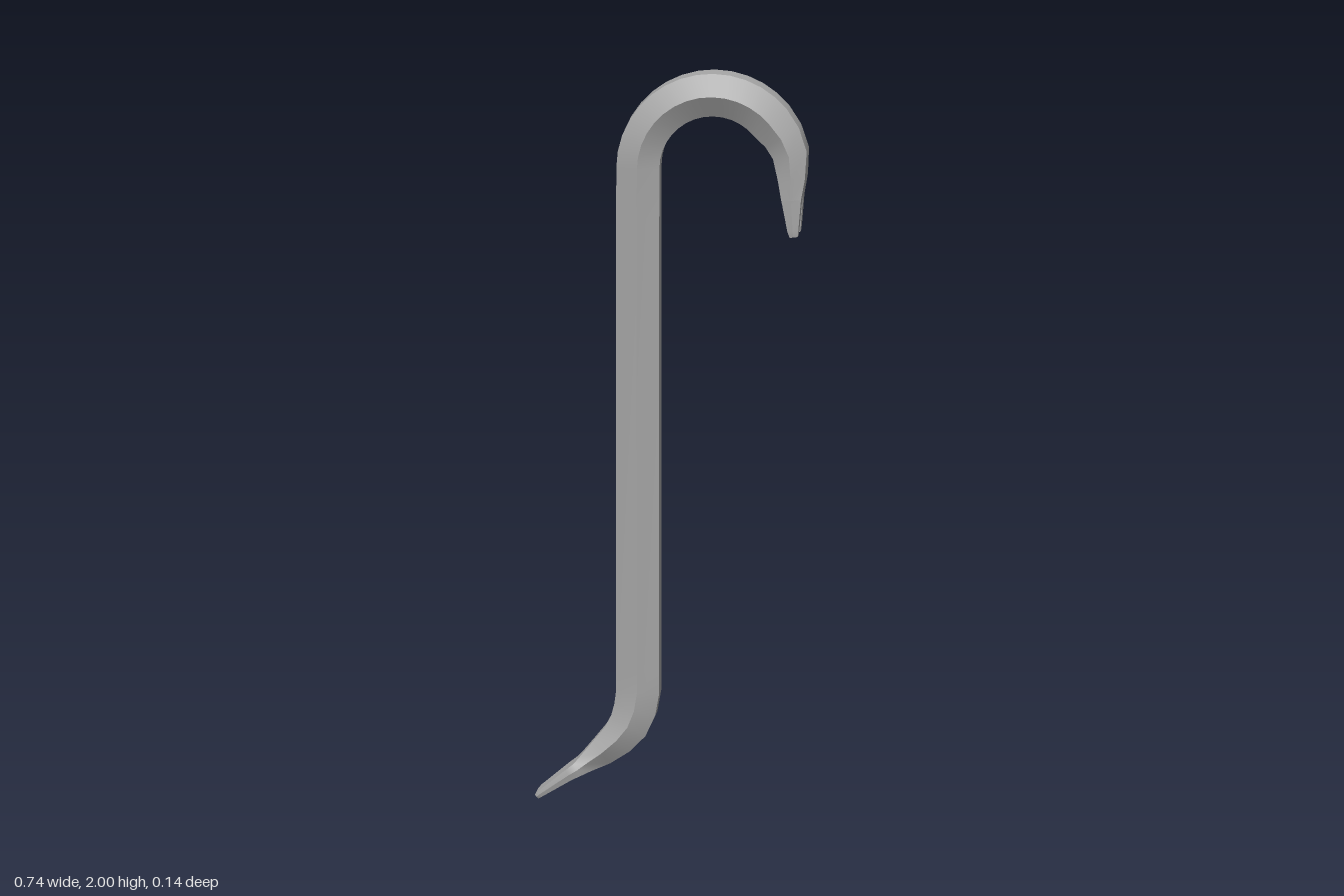
import * as THREE from 'three';

// Stations along the bar: x, y, half thickness, half width, half width of the flat face
const bladeAndBend = [
  [-0.365, 0.01, 0.007, 0.051, 0.048], [-0.356, 0.018, 0.009, 0.055, 0.053],
  [-0.277, 0.073, 0.016, 0.066, 0.062], [-0.254, 0.087, 0.019, 0.068, 0.06],
  [-0.233, 0.101, 0.025, 0.052, 0.04], [-0.19, 0.132, 0.038, 0.059, 0.034],
  [-0.148, 0.168, 0.047, 0.059, 0.034], [-0.118, 0.205, 0.054, 0.06, 0.034],
  [-0.1, 0.25, 0.0575, 0.06, 0.034], [-0.092, 0.3, 0.0585, 0.06, 0.034],
  [-0.092, 0.36, 0.0585, 0.06, 0.034], [-0.092, 1.6, 0.0585, 0.066, 0.034],
];
const hook = [];
for (let a = 180; a >= 40; a -= 10) {
  const r = THREE.MathUtils.degToRad(a);
  hook.push([0.112 + 0.2035 * Math.cos(r), 1.738 + 0.2035 * Math.sin(r), 0.0585, 0.067, 0.034]);
}
const claw = [
  [0.3, 1.828, 0.053, 0.067, 0.035], [0.321, 1.78, 0.047, 0.067, 0.038],
  [0.326, 1.715, 0.037, 0.067, 0.048], [0.326, 1.66, 0.027, 0.066, 0.056],
];
const prongTail = [
  [0.327, 1.648, 0.025, 0.065, 0.057], [0.331, 1.575, 0.015, 0.062, 0.058],
  [0.333, 1.558, 0.011, 0.059, 0.056],
];
const notch = [0.003, 0.011, 0.019, 0.021]; // inner edge of a prong at each of its stations

// Skin closed rings: smooth along the bar, crisp between its sides, capped at both ends
function loft(rings) {
  const pos = [], index = [], n = rings[0].length, last = rings.length - 1;
  const push = (p) => pos.push(p.x, p.y, p.z) / 3 - 1;
  for (let j = 0; j < n; j++) {
    const start = pos.length / 3;
    rings.forEach((ring) => { push(ring[j]); push(ring[(j + 1) % n]); });
    for (let i = 0; i < last; i++) {
      const a = start + i * 2;
      index.push(a, a + 1, a + 3, a, a + 3, a + 2);
    }
  }
  for (const ring of [[...rings[0]].reverse(), rings[last]]) {
    const ids = ring.map(push);
    for (let k = 1; k < n - 1; k++) index.push(ids[0], ids[k], ids[k + 1]);
  }
  const geo = new THREE.BufferGeometry();
  geo.setAttribute('position', new THREE.Float32BufferAttribute(pos, 3));
  geo.setIndex(index);
  geo.computeVertexNormals();
  return geo;
}

export function createModel() {
  const group = new THREE.Group();
  group.name = 'pryBar';
  const steel = new THREE.MeshStandardMaterial({ color: 0xa8a8a8 });
  steel.name = 'grey steel';

  const stations = [...bladeAndBend, ...hook, ...claw, ...prongTail];
  // Place a point of a station's cross-section: u across the bend plane, z sideways
  const place = (i, u, z) => {
    const a = stations[Math.max(i - 1, 0)], b = stations[Math.min(i + 1, stations.length - 1)];
    const dx = b[0] - a[0], dy = b[1] - a[1], len = Math.hypot(dx, dy);
    return new THREE.Vector3(stations[i][0] - (dy / len) * u, stations[i][1] + (dx / len) * u, z);
  };
  const add = (name, rings) => {
    const mesh = new THREE.Mesh(loft(rings), steel);
    mesh.name = name;
    group.add(mesh);
  };

  // Hexagonal bar from the flat blade through the shaft and hook
  const split = stations.length - prongTail.length - 1;
  add('bar', stations.slice(0, split + 1).map(([, , t, w, f], i) =>
    [[t, -f], [t, f], [0, w], [-t, f], [-t, -f], [0, -w]].map(([u, z]) => place(i, u, z))));

  // Two prongs with the nail slot between them
  for (const side of [1, -1]) {
    const rings = stations.slice(split).map(([, , t, w, f], k) => {
      const ring = [[t, notch[k]], [t, f], [0, w], [-t, f], [-t, notch[k]]]
        .map(([u, z]) => place(split + k, u, z * side));
      return side > 0 ? ring : ring.reverse();
    });
    add(side > 0 ? 'frontProng' : 'backProng', rings);
  }
  return group;
}
